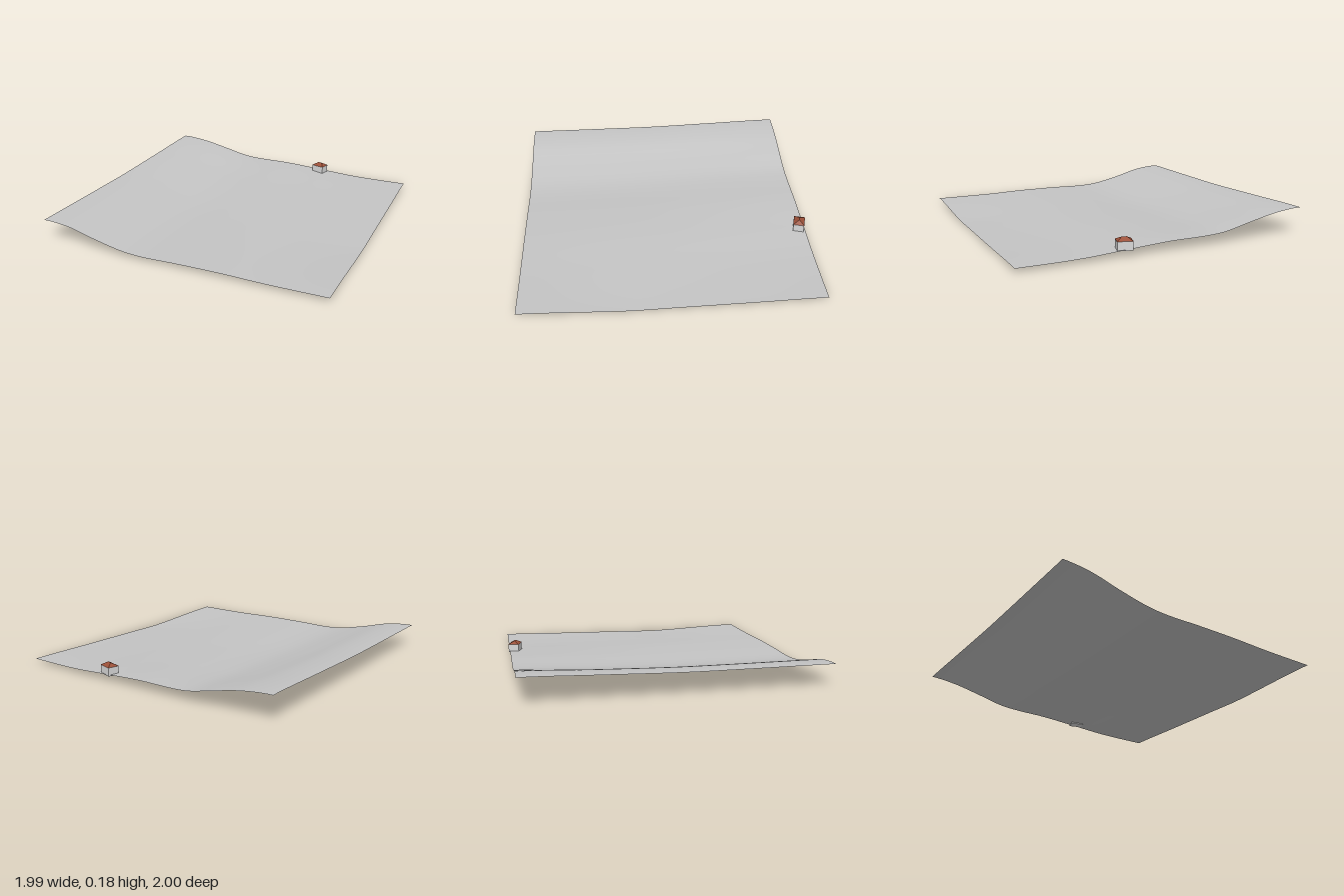
import * as THREE from 'three';

// Ground heights: one row of heights (along x) per z station
const X = [-0.995, -0.8, -0.6, -0.4, -0.25, 0, 0.3, 0.6, 0.995];
const Z = [-0.99, -0.5, 0, 0.3, 1];
const H = [
  [0.183, 0.166, 0.125, 0.08, 0.069, 0.066, 0.048, 0.03, 0.027],
  [0.17, 0.152, 0.103, 0.062, 0.053, 0.054, 0.042, 0.024, 0.017],
  [0.156, 0.139, 0.087, 0.046, 0.036, 0.04, 0.036, 0.02, 0.008],
  [0.154, 0.137, 0.085, 0.042, 0.031, 0.036, 0.034, 0.019, 0.003],
  [0.154, 0.137, 0.085, 0.042, 0.03, 0.034, 0.034, 0.027, 0.027],
];

// Smooth cubic interpolation through (xs, ys), flat at the ends
function smooth(xs, ys, x) {
  const n = xs.length;
  let i = 0;
  while (i < n - 2 && x > xs[i + 1]) i++;
  const slope = (k) => (k <= 0 || k >= n - 1 ? 0 : (ys[k + 1] - ys[k - 1]) / (xs[k + 1] - xs[k - 1]));
  const d = xs[i + 1] - xs[i];
  const t = THREE.MathUtils.clamp((x - xs[i]) / d, 0, 1);
  const t2 = t * t, t3 = t2 * t;
  return (2 * t3 - 3 * t2 + 1) * ys[i] + (t3 - 2 * t2 + t) * d * slope(i)
    + (3 * t2 - 2 * t3) * ys[i + 1] + (t3 - t2) * d * slope(i + 1);
}

const groundHeight = (x, z) => smooth(Z, H.map((row) => smooth(X, row, x)), z);

// Rolling sheet of land
function makeGround(material) {
  const geo = new THREE.PlaneGeometry(1.99, 1.99, 64, 64);
  geo.rotateX(-Math.PI / 2);
  geo.translate(0, 0, 0.005);
  const p = geo.attributes.position;
  for (let i = 0; i < p.count; i++) p.setY(i, groundHeight(p.getX(i), p.getZ(i)));
  geo.computeVertexNormals();
  const mesh = new THREE.Mesh(geo, material);
  mesh.name = 'ground';
  return mesh;
}

// Hipped roof: a box whose top face is drawn in to a short ridge
function makeRoof(w, h, d, ridge, material) {
  const box = new THREE.BoxGeometry(w, h, d);
  const p = box.attributes.position;
  for (let i = 0; i < p.count; i++) {
    if (p.getY(i) > 0) p.setXYZ(i, Math.sign(p.getX(i)) * ridge / 2, h / 2, 0);
  }
  const geo = box.toNonIndexed();
  geo.computeVertexNormals();
  const mesh = new THREE.Mesh(geo, material);
  mesh.name = 'roof';
  return mesh;
}

export function createModel() {
  const groundGrey = new THREE.MeshStandardMaterial({ color: 0xc4c4c4, side: THREE.DoubleSide });
  groundGrey.name = 'ground grey';
  const wallGrey = new THREE.MeshStandardMaterial({ color: 0xd8d8d8 });
  wallGrey.name = 'wall pale grey';
  const roofBrown = new THREE.MeshStandardMaterial({ color: 0x9c5038 });
  roofBrown.name = 'roof red brown';

  const model = new THREE.Group();
  model.name = 'hillsideWithHouse';
  model.add(makeGround(groundGrey));

  // Small house at the back edge of the land
  const house = new THREE.Group();
  house.name = 'house';
  house.position.set(0.296, 0.042, -0.95);
  house.rotation.y = -0.27;
  const walls = new THREE.Mesh(new THREE.BoxGeometry(0.098, 0.058, 0.075), wallGrey);
  walls.name = 'walls';
  walls.position.y = 0.029;
  const roof = makeRoof(0.1, 0.022, 0.077, 0.03, roofBrown);
  roof.position.y = 0.069;
  house.add(walls, roof);
  model.add(house);
  return model;
}
